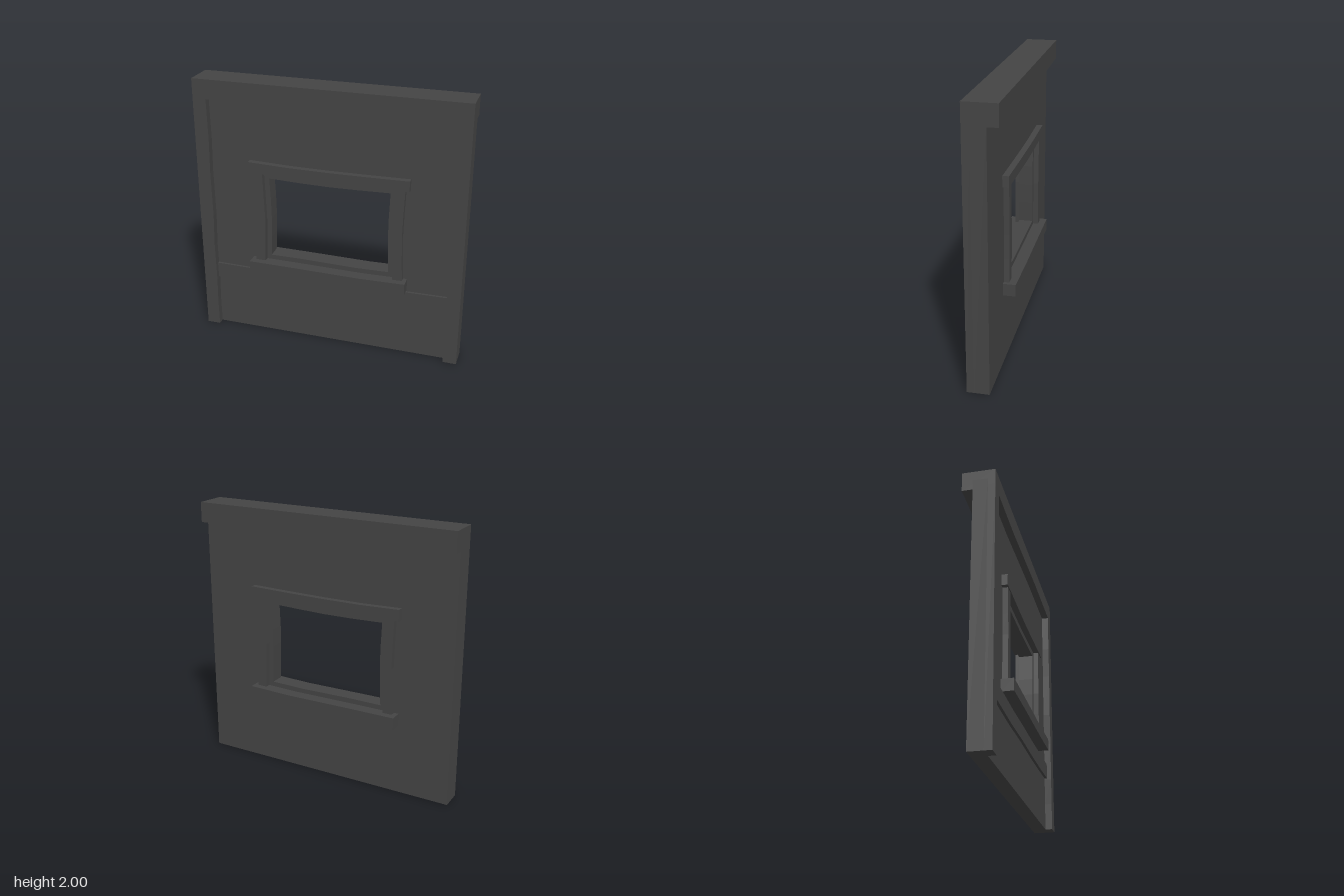
import * as THREE from 'three';

const material = new THREE.MeshStandardMaterial({ color: 0x444444, flatShading: true });

// Upright slab: an outline of [x, y] points extruded from z0 to z1
function slab(name, points, z0, z1, hole) {
  const toVec = (p) => new THREE.Vector2(p[0], p[1]);
  const shape = new THREE.Shape(points.map(toVec));
  if (hole) shape.holes.push(new THREE.Path(hole.map(toVec)));
  const geometry = new THREE.ExtrudeGeometry(shape, { depth: z1 - z0, bevelEnabled: false });
  geometry.translate(0, 0, z0);
  const mesh = new THREE.Mesh(geometry, material);
  mesh.name = name;
  return mesh;
}

export function createModel() {
  const model = new THREE.Group();
  model.name = 'windowWall';
  const wallFace = 0.053; // half the wall's thickness

  // Wall panel with a slightly bowed window opening
  const opening = [
    [-0.456, 0.66], [-0.22, 0.661], [0.0, 0.657], [0.2, 0.653], [0.452, 0.658],
    [0.447, 0.82], [0.443, 0.95], [0.444, 1.08], [0.452, 1.284],
    [0.22, 1.277], [0.0, 1.273], [-0.22, 1.276], [-0.456, 1.284],
    [-0.448, 1.12], [-0.445, 0.97], [-0.448, 0.82],
  ];
  model.add(slab('wall', [[-1, 0], [1, 0], [1, 1.93], [-1, 1.93]], -wallFace, wallFace, opening));

  // Top beam with an uneven lower edge, overhanging the back
  model.add(slab('topBeam', [
    [-1, 1.855], [-0.9, 1.856], [-0.7, 1.85], [-0.45, 1.843], [-0.2, 1.849], [0.1, 1.857],
    [0.35, 1.862], [0.6, 1.858], [0.9, 1.852], [1, 1.852], [1, 2], [-1, 2],
  ], -0.129, 0.105));

  // Corner posts
  for (const [side, name] of [[-1, 'rightPost'], [1, 'leftPost']]) {
    model.add(slab(name, [
      [1, 0], [1, 1.88], [0.9, 1.88], [0.895, 1.55], [0.9, 1.3],
      [0.895, 0.95], [0.902, 0.7], [0.898, 0.4], [0.902, 0.2], [0.9, 0],
    ].map(([x, y]) => [x * side, y]), wallFace, 0.105));
  }

  // Low rail across the front
  model.add(slab('rail', [
    [-0.9, 0.413], [-0.6, 0.405], [-0.35, 0.4], [0, 0.406], [0.35, 0.401], [0.65, 0.404], [0.9, 0.411],
    [0.9, 0.527], [0.6, 0.523], [0.3, 0.52], [0, 0.523], [-0.3, 0.519], [-0.6, 0.526], [-0.9, 0.53],
  ], wallFace, 0.072));

  // Window trim, the same on both faces
  for (const [face, label] of [[1, 'front'], [-1, 'back']]) {
    const span = (reach) => (face > 0 ? [wallFace, reach] : [-reach, -wallFace]);
    const trim = new THREE.Group();
    trim.name = label + 'WindowTrim';
    trim.add(slab('lintel', [
      [-0.6, 1.328], [-0.49, 1.328], [-0.25, 1.321], [0, 1.317], [0.25, 1.321], [0.49, 1.328], [0.595, 1.328],
      [0.595, 1.408], [0.3, 1.403], [0, 1.4], [-0.3, 1.402], [-0.6, 1.412],
    ], ...span(0.098)));
    trim.add(slab('sill', [
      [-0.6, 0.536], [-0.25, 0.538], [0.25, 0.534], [0.595, 0.537],
      [0.595, 0.625], [0.25, 0.618], [0, 0.621], [-0.25, 0.624], [-0.6, 0.626],
    ], ...span(0.143)));
    for (const side of [-1, 1]) {
      trim.add(slab(side > 0 ? 'leftJamb' : 'rightJamb', [
        [0.492, 0.62], [0.565, 0.62], [0.558, 0.8], [0.553, 0.97], [0.557, 1.13], [0.565, 1.33],
        [0.495, 1.33], [0.488, 1.13], [0.482, 0.97], [0.486, 0.8],
      ].map(([x, y]) => [x * side, y]), ...span(0.092)));
    }
    model.add(trim);
  }
  return model;
}
